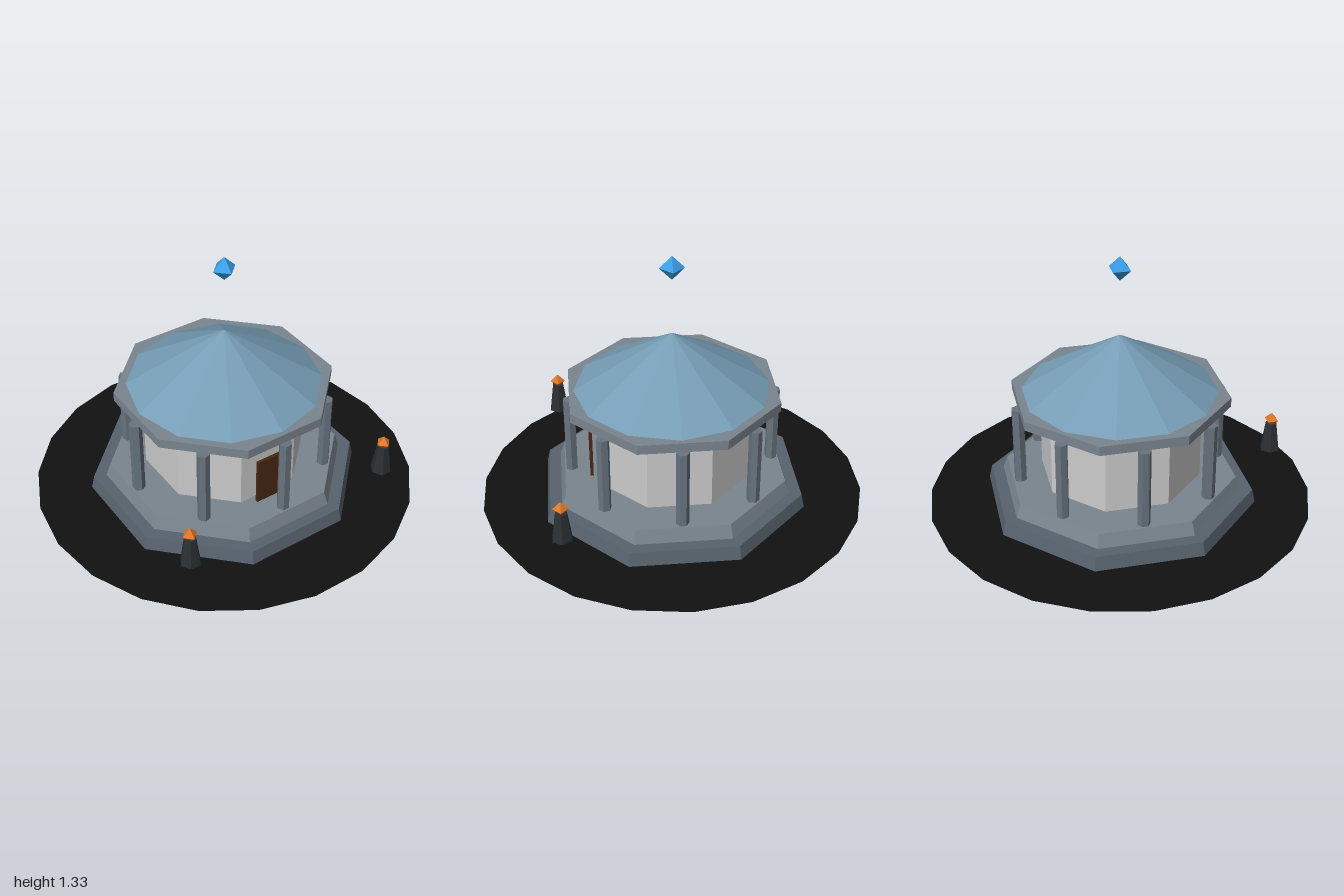
import * as THREE from 'three';

const mat = (color, side = THREE.FrontSide) =>
  new THREE.MeshStandardMaterial({ color, flatShading: true, side });

const MATS = {
  ground: mat(0x111111, THREE.DoubleSide),
  lowerStone: mat(0x58636e),
  stone: mat(0x7a858f),
  column: mat(0x68747f),
  wall: mat(0xcccccc),
  roof: mat(0x769db5),
  door: mat(0x4a2814),
  post: mat(0x2c3033),
  flame: mat(0xe07828),
  crystal: mat(0x3aa0e8),
};

function add(parent, name, geometry, material, x = 0, y = 0, z = 0) {
  const mesh = new THREE.Mesh(geometry, material);
  mesh.name = name;
  mesh.position.set(x, y, z);
  parent.add(mesh);
  return mesh;
}

// Octagonal slab with flat sides facing the axes, sized by its half width
function octagon(bottom, top, y0, y1) {
  const k = 1 / Math.cos(Math.PI / 8);
  return new THREE.CylinderGeometry(top * k, bottom * k, y1 - y0, 8)
    .rotateY(Math.PI / 8)
    .translate(0, (y0 + y1) / 2, 0);
}

export function createModel() {
  const model = new THREE.Group();
  model.name = 'pavilion';

  // Ground ring, open in the middle
  add(model, 'groundRing',
    new THREE.RingGeometry(0.45, 1, 22).rotateX(-Math.PI / 2), MATS.ground);

  // Stepped base
  add(model, 'lowerStep', octagon(0.66, 0.645, 0.003, 0.075), MATS.lowerStone);
  add(model, 'upperStep', octagon(0.585, 0.562, 0.075, 0.145), MATS.stone);

  // Chamber and door
  add(model, 'chamberWall', octagon(0.388, 0.388, 0.145, 0.56), MATS.wall);
  add(model, 'door', new THREE.BoxGeometry(0.18, 0.26, 0.016), MATS.door, 0, 0.273, 0.424);

  // Ring of hexagonal columns, each with a flat side facing outward
  const columnGeo = new THREE.CylinderGeometry(0.033, 0.033, 0.415, 6).rotateY(Math.PI / 6);
  const columns = new THREE.Group();
  columns.name = 'columns';
  model.add(columns);
  for (let i = 0; i < 8; i++) {
    const a = (i * Math.PI) / 4;
    const column = add(columns, 'column', columnGeo, MATS.column,
      0.525 * Math.sin(a), 0.3525, 0.525 * Math.cos(a));
    column.rotation.y = a;
  }

  // Lintel slab and roof
  add(model, 'lintel', octagon(0.522, 0.522, 0.56, 0.61), MATS.stone);
  add(model, 'roof', new THREE.ConeGeometry(0.5, 0.305, 12), MATS.roof, 0, 0.7625, 0);

  // Pair of tapered lamps with glowing stones
  const postGeo = new THREE.CylinderGeometry(0.031, 0.054, 0.155, 6).rotateY(Math.PI / 6);
  for (const side of [-1, 1]) {
    const lamp = new THREE.Group();
    lamp.name = side > 0 ? 'leftLamp' : 'rightLamp';
    lamp.position.set(side * 0.587, 0, 0.585);
    model.add(lamp);
    add(lamp, 'lampPost', postGeo, MATS.post, 0, 0.2225, 0);
    add(lamp, 'lampStone', new THREE.OctahedronGeometry(0.04), MATS.flame, 0, 0.322, 0);
  }

  // Crystal floating over the roof
  add(model, 'crystal', new THREE.OctahedronGeometry(0.063), MATS.crystal, 0, 1.267, 0);

  return model;
}
